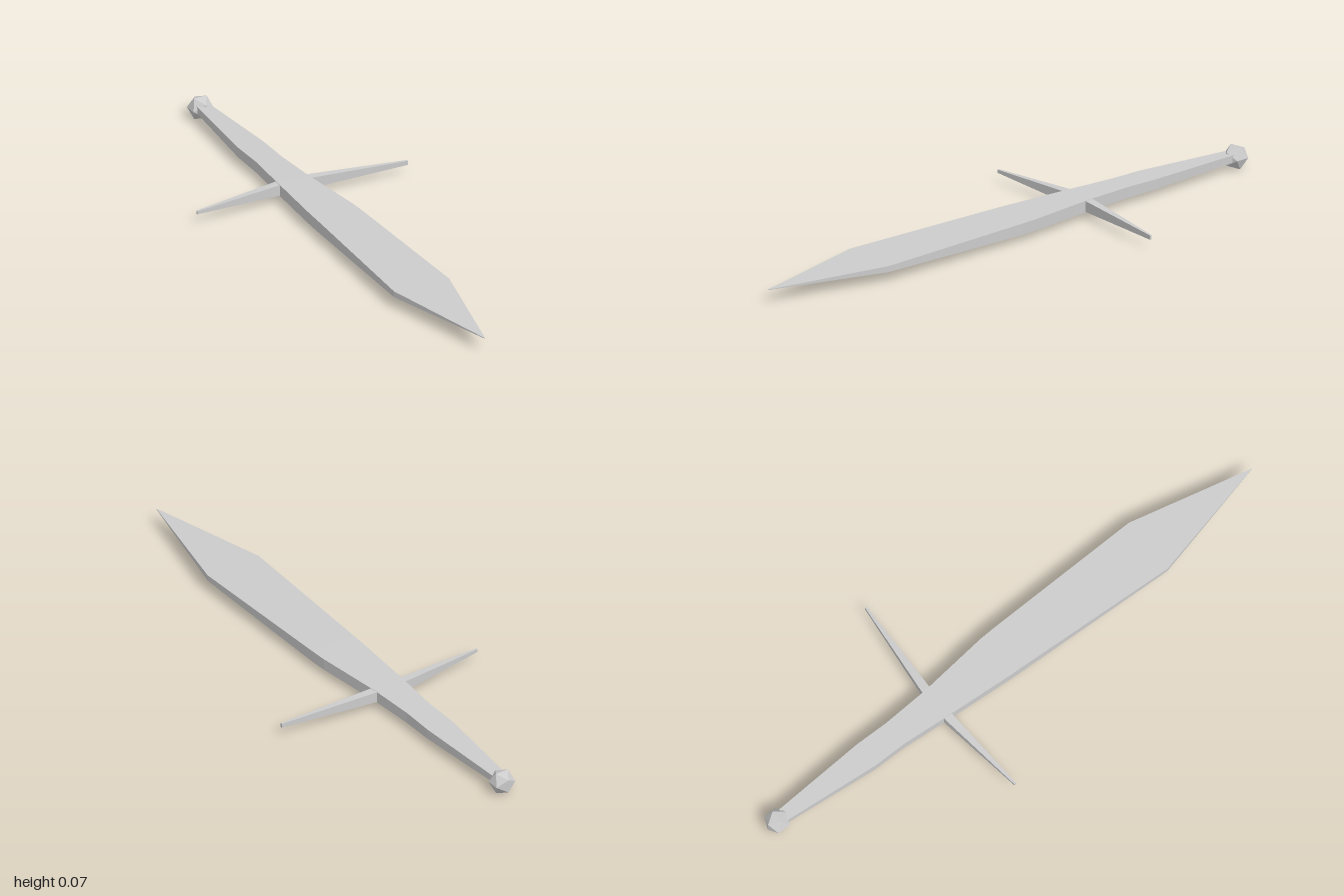
import * as THREE from 'three';

const steel = new THREE.MeshStandardMaterial({ color: 0xcccccc, flatShading: true });

// Skin a row of four-cornered sections; corners run counter-clockwise seen from the far end.
function loft(name, sections, capStart, capEnd) {
  const pos = [];
  const quad = (a, b, c, d) => [a, b, c, a, c, d].forEach((p) => pos.push(...p));
  for (let s = 0; s < sections.length - 1; s++) {
    const a = sections[s], b = sections[s + 1];
    for (let i = 0; i < 4; i++) {
      const j = (i + 1) % 4;
      quad(a[i], a[j], b[j], b[i]);
    }
  }
  if (capStart) quad(...[...sections[0]].reverse());
  if (capEnd) quad(...sections[sections.length - 1]);
  const geo = new THREE.BufferGeometry();
  geo.setAttribute('position', new THREE.Float32BufferAttribute(pos, 3));
  geo.computeVertexNormals();
  const mesh = new THREE.Mesh(geo, steel);
  mesh.name = name;
  return mesh;
}

// Rectangular sections across z (grip, blade) and across x (guard)
const acrossZ = ([z, x0, x1, y0, y1]) => [[x0, y0, z], [x1, y0, z], [x1, y1, z], [x0, y1, z]];
const acrossX = ([x, z0, z1, y0, y1]) => [[x, y0, z0], [x, y1, z0], [x, y1, z1], [x, y0, z1]];

export function createModel() {
  const group = new THREE.Group();

  // Section shared by grip and blade at the guard: z, x range, y range
  const shoulder = [-0.31, -0.075, 0.04, 0.022, 0.062];

  const grip = [
    [-0.96, -0.033, 0.01, 0.031, 0.055],
    [-0.6, -0.064, 0.031, 0.025, 0.06],
    [-0.48, -0.063, 0.03, 0.023, 0.061],
    shoulder,
  ];
  group.add(loft('grip', grip.map(acrossZ), true, false));

  const blade = [
    shoulder,
    [-0.06, -0.09, 0.069, 0.022, 0.062],
    [0.0, -0.092, 0.072, 0.022, 0.062],
    [0.57, -0.115, 0.088, 0.037, 0.058],
    [1.0, -0.011, -0.009, 0.049, 0.051],
  ];
  group.add(loft('blade', blade.map(acrossZ), false, true));

  // Guard arms: thick at the blade, tapering and sweeping towards the tip
  const root = (x) => [x, -0.323, -0.292, 0.023, 0.061];
  group.add(loft('rightGuardArm',
    [[-0.39, -0.28, -0.273, 0.036, 0.047], root(-0.07)].map(acrossX), true, false));
  group.add(loft('leftGuardArm',
    [root(0.035), [0.39, -0.285, -0.278, 0.033, 0.048]].map(acrossX), false, true));

  // Faceted pommel
  const pommel = new THREE.Mesh(new THREE.IcosahedronGeometry(0.044, 0), steel);
  pommel.name = 'pommel';
  pommel.position.set(-0.01, 0.038, -0.963);
  group.add(pommel);

  return group;
}
